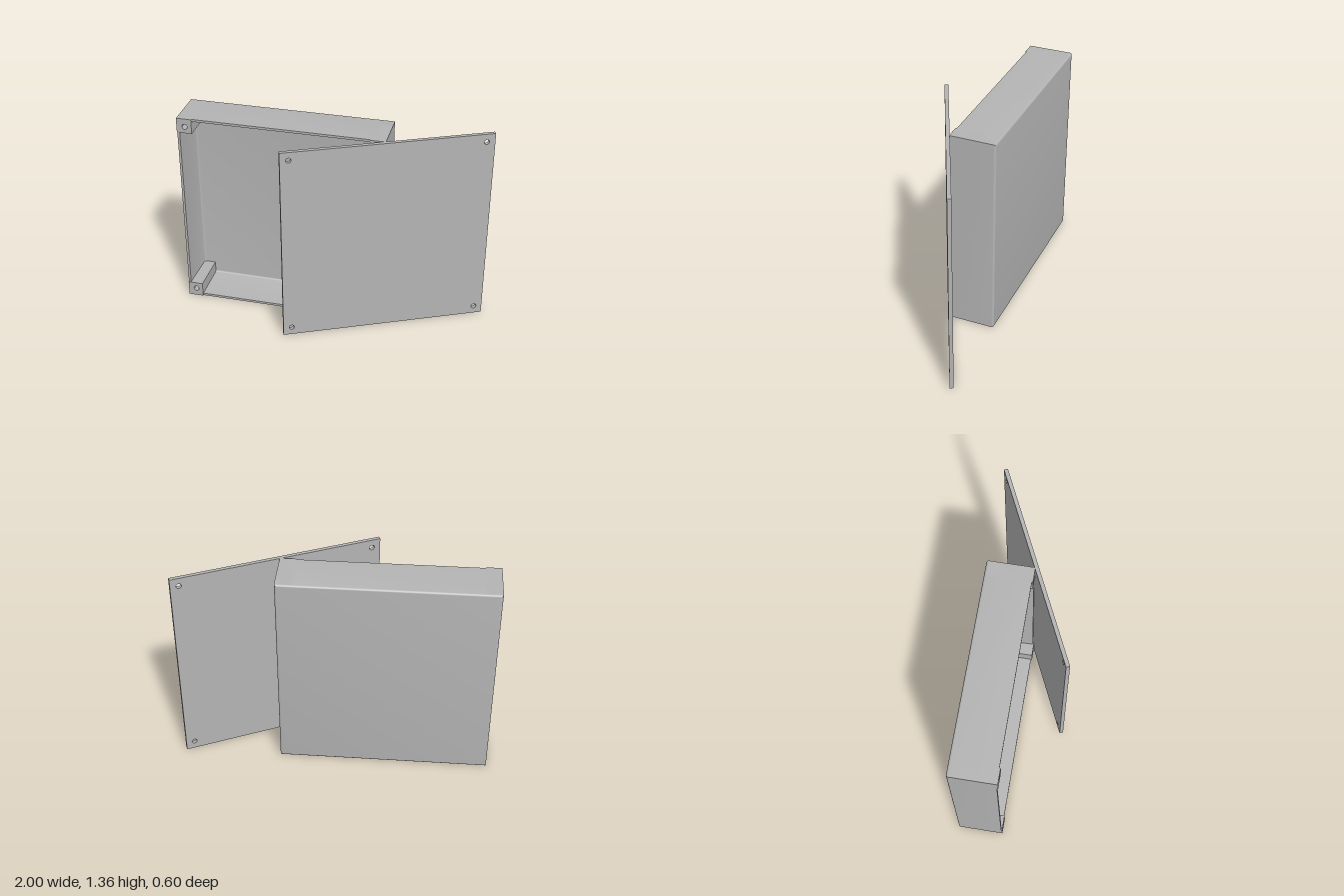
import * as THREE from 'three';
import { toCreasedNormals } from 'three/addons/utils/BufferGeometryUtils.js';

const HALF = 0.68;      // half the side of the square case
const DEPTH = 0.3;
const RIM = -0.007;     // wall edge, just behind the post faces
const INSET = 0.055;    // screw hole distance from the edges

const smooth = (g) => toCreasedNormals(g, Math.PI / 5);

// Flat plate drawn in x-y with round holes, extruded along z
function drilledPlate(size, holes, radius, depth) {
  const h = size / 2;
  const shape = new THREE.Shape();
  shape.moveTo(-h, -h).lineTo(h, -h).lineTo(h, h).lineTo(-h, h).closePath();
  for (const [x, y] of holes) {
    shape.holes.push(new THREE.Path().absarc(x, y, radius, 0, Math.PI * 2, true));
  }
  return smooth(new THREE.ExtrudeGeometry(shape, { depth, bevelEnabled: false, curveSegments: 16 }));
}

// Quarter-round fillet as [halfWidth, z] points, from the flat face to the side
function fillet(half, z, r) {
  return Array.from({ length: 6 }, (_, i) => {
    const a = (i / 5) * Math.PI / 2;
    return [half - r + r * Math.sin(a), z + r - r * Math.cos(a)];
  });
}

// Open square tray: a wall profile turned through four sides
function trayGeometry() {
  const profile = [
    [0, -DEPTH],
    ...fillet(HALF, -DEPTH, 0.015),
    [HALF, RIM],
    [0.664, RIM],
    ...fillet(0.658, -0.28, 0.015).reverse(),
    [0, -0.28],
  ].map(([w, z]) => new THREE.Vector2(w * Math.SQRT2, z));
  const g = new THREE.LatheGeometry(profile, 4, Math.PI / 4);
  g.rotateX(Math.PI / 2);
  return smooth(g);
}

export function createModel() {
  const model = new THREE.Group();
  model.name = 'enclosure';
  const grey = new THREE.MeshStandardMaterial({ color: 0xb4b4b4 });
  grey.name = 'grey';

  const add = (parent, name, geometry) => {
    const mesh = new THREE.Mesh(geometry, grey);
    mesh.name = name;
    parent.add(mesh);
    return mesh;
  };
  const corners = [[-1, -1], [1, -1], [1, 1], [-1, 1]];

  // Case with a screw post in each corner
  const box = new THREE.Group();
  box.name = 'case';
  box.position.set(-0.32, HALF, 0);
  add(box, 'tray', trayGeometry());
  for (const [sx, sy] of corners) {
    const hole = [sx * (INSET - 0.05) * -1, sy * (INSET - 0.05) * -1];
    const post = add(box, 'screwPost', drilledPlate(0.1, [hole], 0.018, 0.282));
    post.position.set(sx * (HALF - 0.05), sy * (HALF - 0.05), -0.282);
  }
  model.add(box);

  // Loose lid, swung away in front of the case
  const offset = HALF - INSET;
  const lidGeometry = drilledPlate(HALF * 2, corners.map(([x, y]) => [x * offset, y * offset]), 0.017, 0.025);
  lidGeometry.translate(0, 0, -0.0125);
  const lid = add(model, 'lid', lidGeometry);
  lid.position.set(0.378, HALF, 0);
  lid.rotation.y = THREE.MathUtils.degToRad(25);

  return model;
}
